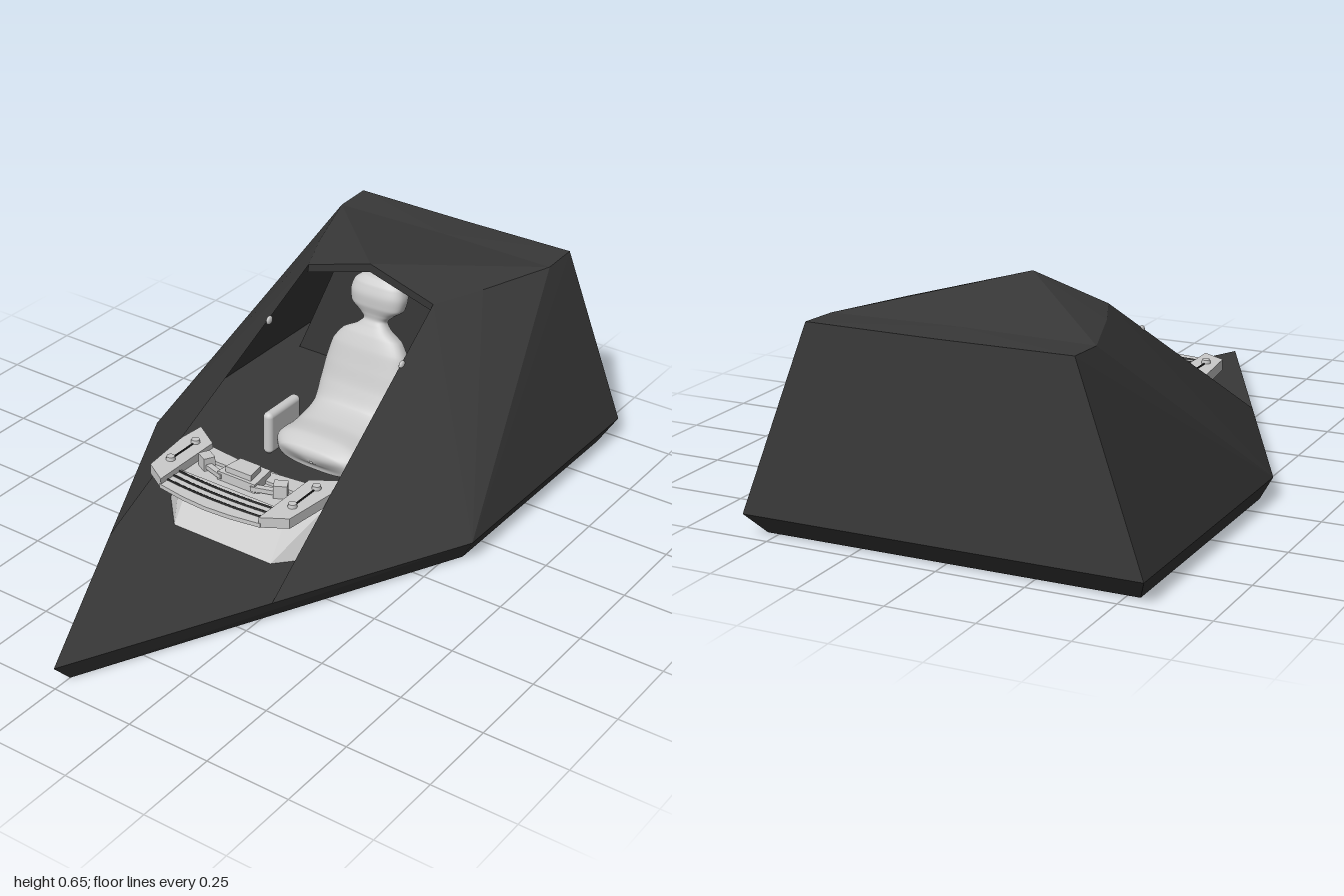
import * as THREE from 'three';
import { RoundedBoxGeometry } from 'three/addons/geometries/RoundedBoxGeometry.js';

const hullMat = new THREE.MeshStandardMaterial({ color: 0x383838, flatShading: true, side: THREE.DoubleSide });
const darkMat = new THREE.MeshStandardMaterial({ color: 0x1c1c1c });
const greyMat = new THREE.MeshStandardMaterial({ color: 0xcccccc, side: THREE.DoubleSide });

function add(parent, name, geometry, material, x = 0, y = 0, z = 0) {
  const mesh = new THREE.Mesh(geometry, material);
  mesh.name = name;
  mesh.position.set(x, y, z);
  parent.add(mesh);
  return mesh;
}

// Flat polygons on the +x side, repeated as mirror images on the -x side
function mirroredFaces(faces) {
  const pos = [];
  for (const f of faces) {
    for (let i = 1; i < f.length - 1; i++) {
      const tri = [f[0], f[i], f[i + 1]];
      for (const p of tri) pos.push(...p);
      for (const p of tri.reverse()) pos.push(-p[0], p[1], p[2]);
    }
  }
  const g = new THREE.BufferGeometry();
  g.setAttribute('position', new THREE.Float32BufferAttribute(pos, 3));
  g.computeVertexNormals();
  return g;
}

// Horizontal plate from an [x, z] outline, between heights y0 and y1
function plate(points, y0, y1, s = 1) {
  const shape = new THREE.Shape(points.map(([x, z]) => new THREE.Vector2(x * s, -z)));
  return new THREE.ExtrudeGeometry(shape, { depth: y1 - y0, bevelEnabled: false })
    .rotateX(-Math.PI / 2).translate(0, y0, 0);
}

// Rounded body lofted along a path in the yz plane; stations are [y, z, halfWidth, halfDepth]
function loftBody(stations, steps = 64, sides = 40) {
  const path = new THREE.CatmullRomCurve3(stations.map(([y, z]) => new THREE.Vector3(0, y, z)));
  const size = new THREE.CatmullRomCurve3(stations.map(([, , w, d]) => new THREE.Vector3(w, d, 0)));
  const pos = [], idx = [];
  const round = (v) => Math.sign(v) * Math.pow(Math.abs(v), 0.75);
  for (let i = 0; i <= steps; i++) {
    const p = path.getPoint(i / steps), t = path.getTangent(i / steps), s = size.getPoint(i / steps);
    for (let j = 0; j < sides; j++) {
      const a = (j / sides) * Math.PI * 2, d = round(Math.sin(a)) * s.y;
      pos.push(round(Math.cos(a)) * s.x, p.y - t.z * d, p.z + t.y * d);
      if (i < steps) {
        const k = i * sides + j, n = i * sides + (j + 1) % sides;
        idx.push(k, k + sides, n, n, k + sides, n + sides);
      }
    }
  }
  const g = new THREE.BufferGeometry();
  g.setAttribute('position', new THREE.Float32BufferAttribute(pos, 3));
  g.setIndex(idx);
  g.computeVertexNormals();
  return g;
}

function buildHull(parent) {
  // Deck outline and underside
  const nose = [0, 0.065, 1], sill = [0.285, 0.065, 0.43], side = [0.57, 0.065, -0.14];
  const rear = [0.57, 0.065, -1], rearMid = [0, 0.065, -1];
  const noseLow = [0, 0, 0.94], sideLow = [0.535, 0, -0.15], rearLow = [0.535, 0, -0.94], rearMidLow = [0, 0, -0.94];
  add(parent, 'lowerHull', mirroredFaces([
    [noseLow, sideLow, side, nose], [sideLow, rearLow, rear, side],
    [rearLow, rearMidLow, rearMid, rear], [noseLow, rearMidLow, rearLow, sideLow],
    [nose, side, rear, rearMid],
  ]), hullMat);

  // Sloping sides, roof and back
  const brow = [0.22, 0.587, -0.45], roofA = [0.29, 0.589, -0.61], roofB = [0.375, 0.591, -0.85];
  const roofC = [0.375, 0.596, -0.97], peak = [0, 0.653, -0.45], ridge = [0, 0.596, -0.85], ridgeBack = [0, 0.594, -0.97];
  add(parent, 'sideWalls', mirroredFaces([
    [sill, side, brow], [side, roofA, brow], [side, roofB, roofA], [side, roofC, roofB], [side, rear, roofC],
  ]), hullMat);
  add(parent, 'roof', mirroredFaces([
    [peak, brow, roofA], [peak, roofA, roofB], [peak, roofB, ridge], [ridge, roofB, roofC, ridgeBack],
  ]), hullMat);
  add(parent, 'backWall', mirroredFaces([[rear, rearMid, ridgeBack, roofC]]), hullMat);

  // Front lip, ceiling and bulkhead inside the opening
  const browIn = [0.225, 0.56, -0.452], peakIn = [0, 0.625, -0.452];
  const ceilSide = [0.31, 0.52, -0.8], ceilMid = [0, 0.582, -0.8];
  add(parent, 'cabinLining', mirroredFaces([
    [browIn, brow, peak, peakIn], [browIn, peakIn, ceilMid, ceilSide],
    [[0, 0.066, -0.8], [0.5, 0.066, -0.8], ceilSide, ceilMid],
  ]), hullMat);
}

function buildSeat(parent) {
  // Cushion, backrest, neck and headrest in one smooth body
  add(parent, 'seat', loftBody([
    [0.12, -0.155, 0.005, 0.005], [0.125, -0.165, 0.12, 0.04], [0.13, -0.21, 0.155, 0.058],
    [0.135, -0.29, 0.15, 0.058], [0.17, -0.385, 0.145, 0.06], [0.24, -0.425, 0.146, 0.055],
    [0.31, -0.445, 0.14, 0.05], [0.37, -0.46, 0.128, 0.045], [0.41, -0.472, 0.1, 0.038],
    [0.435, -0.48, 0.055, 0.03], [0.455, -0.487, 0.038, 0.026], [0.475, -0.492, 0.055, 0.032],
    [0.5, -0.497, 0.086, 0.043], [0.535, -0.503, 0.092, 0.048], [0.57, -0.507, 0.083, 0.04],
    [0.59, -0.508, 0.055, 0.025], [0.597, -0.508, 0.003, 0.003],
  ], 110), greyMat);
  add(parent, 'seatPedestal', new RoundedBoxGeometry(0.22, 0.06, 0.22, 3, 0.02), greyMat, 0, 0.092, -0.32);
  for (const s of [-1, 1]) {
    add(parent, 'armrest', new RoundedBoxGeometry(0.034, 0.14, 0.16, 4, 0.016), greyMat, s * 0.182, 0.14, -0.26);
    const knob = add(parent, 'wallKnob', new THREE.SphereGeometry(0.014, 16, 12), greyMat, s * 0.234, 0.472, -0.27);
    knob.scale.x = 0.5;
  }
}

function buildDash(parent) {
  const flatGrey = greyMat.clone();
  flatGrey.flatShading = true;

  // Console body under the dash
  const low = [[0, 0.28], [0.17, 0.28], [0.27, 0.17], [0.26, 0.08], [0, 0.08]].map(([x, z]) => [x, 0.066, z]);
  const high = [[0, 0.18], [0.17, 0.18], [0.26, 0.12], [0.255, 0.08], [0, 0.08]].map(([x, z]) => [x, 0.217, z]);
  const walls = [0, 1, 2, 3].map((i) => [low[i], low[i + 1], high[i + 1], high[i]]);
  add(parent, 'console', mirroredFaces([...walls, high]), flatGrey);

  // Centre bars and dark grooves
  add(parent, 'dashRearBar', plate([[-0.175, 0.09], [0, 0.11], [0.175, 0.09], [0.175, 0.15], [-0.175, 0.15]], 0.215, 0.232), flatGrey);
  add(parent, 'dashPan', plate([[-0.175, 0.14], [0.175, 0.14], [0.175, 0.25], [-0.175, 0.25]], 0.215, 0.222), flatGrey);
  add(parent, 'dashFrontBar', plate([[-0.175, 0.24], [0.175, 0.24], [0.175, 0.335], [0.08, 0.35], [0, 0.355], [-0.08, 0.35], [-0.175, 0.335]], 0.217, 0.23), flatGrey);
  for (const z of [0.25, 0.277, 0.304]) {
    const curve = new THREE.QuadraticBezierCurve3(
      new THREE.Vector3(-0.17, 0.23, z), new THREE.Vector3(0, 0.23, z + 0.018), new THREE.Vector3(0.17, 0.23, z));
    add(parent, 'dashGroove', new THREE.TubeGeometry(curve, 20, 0.004, 6), darkMat);
  }

  // Side wings with switches
  for (const s of [-1, 1]) {
    add(parent, 'dashWing', plate([[0.17, 0.095], [0.255, 0.04], [0.262, 0.12], [0.243, 0.29], [0.17, 0.335]], 0.216, 0.248, s), flatGrey);
    for (const z of [0.12, 0.235]) {
      add(parent, 'switchKnob', new THREE.CylinderGeometry(0.012, 0.014, 0.012, 12), greyMat, s * 0.213, 0.253, z);
    }
    add(parent, 'switchSlot', new THREE.BoxGeometry(0.005, 0.003, 0.09), darkMat, s * 0.213, 0.249, 0.178);

    // Steering yoke grips
    const grip = add(parent, 'yokeGrip', new THREE.BoxGeometry(0.04, 0.045, 0.035), flatGrey, s * 0.13, 0.24, 0.175);
    grip.rotation.y = s * 0.5;
    const spoke = add(parent, 'yokeSpoke', new THREE.BoxGeometry(0.08, 0.014, 0.018), flatGrey, s * 0.088, 0.236, 0.195);
    spoke.rotation.y = s * 0.3;
    const fin = add(parent, 'yokeFin', new THREE.ConeGeometry(0.01, 0.035, 4), flatGrey, s * 0.068, 0.212, 0.2);
    fin.rotation.x = Math.PI;
  }
  // Steering hub
  add(parent, 'yokeHub', plate([[-0.065, 0.21], [-0.055, 0.12], [0.055, 0.12], [0.065, 0.21]], 0.22, 0.25), flatGrey);
  add(parent, 'yokeCap', plate([[-0.045, 0.2], [-0.035, 0.14], [0.035, 0.14], [0.045, 0.2]], 0.25, 0.268), flatGrey);
}

export function createModel() {
  const model = new THREE.Group();
  model.name = 'cockpit';
  for (const [name, build] of [['hull', buildHull], ['seatGroup', buildSeat], ['dashboard', buildDash]]) {
    const group = new THREE.Group();
    group.name = name;
    build(group);
    model.add(group);
  }
  return model;
}
